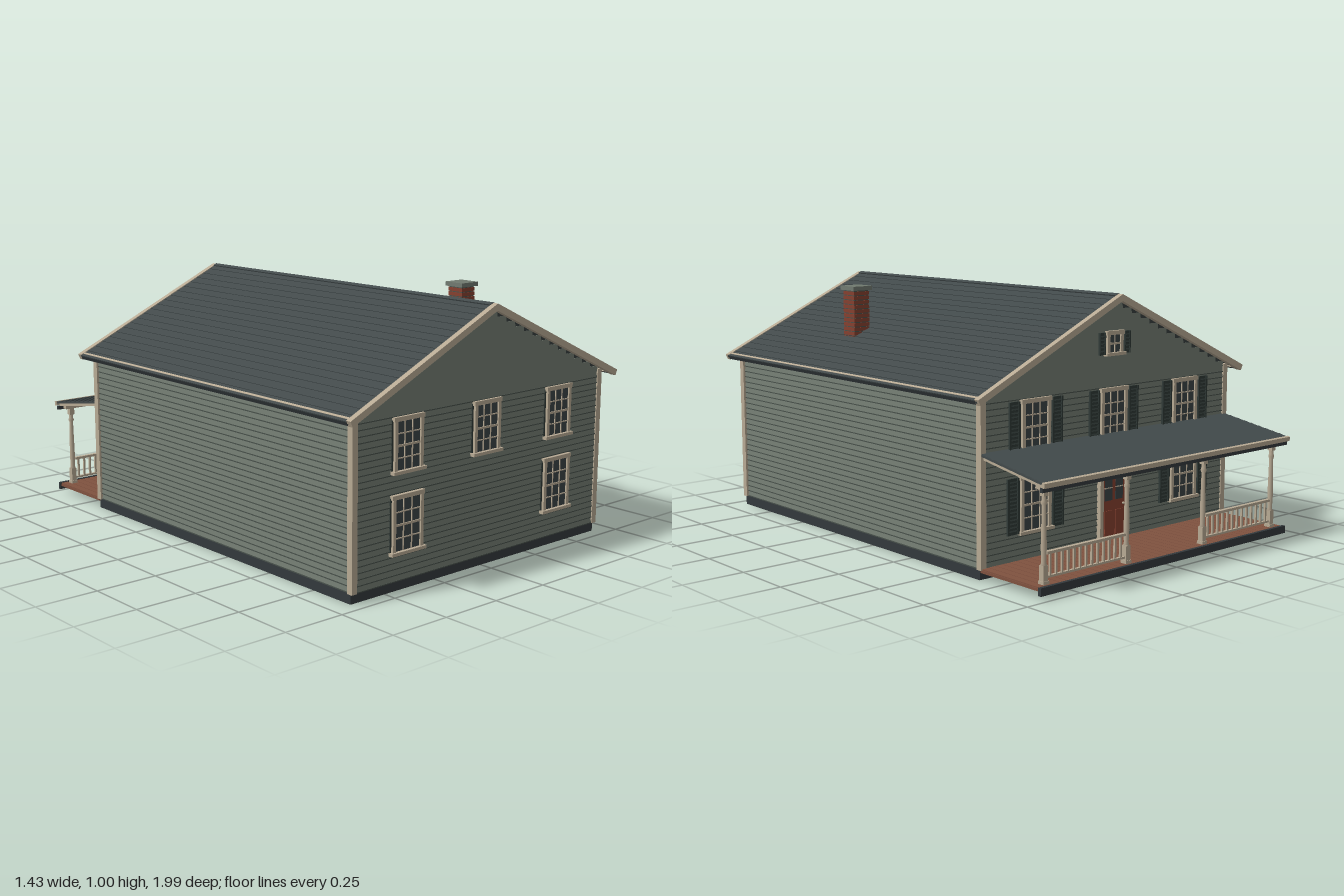
import * as THREE from 'three';
import { mergeGeometries } from 'three/addons/utils/BufferGeometryUtils.js';

const paint = (name, color) => Object.assign(new THREE.MeshStandardMaterial({ color }), { name });
const siding = paint('sage siding', 0x717a70);
const groove = paint('siding groove', 0x48514b);
const trim = paint('cream trim', 0xb8aa94);
const roofing = paint('slate roofing', 0x424a4b);
const stone = paint('dark foundation', 0x33393c);
const glass = paint('window glass', 0x3a4346);
const shutterPaint = paint('shutter green', 0x2f3936);
const brick = paint('chimney brick', 0x86402f);
const decking = paint('deck boards', 0x80523f);

const group = (parent, name) => {
  const g = new THREE.Group();
  g.name = name;
  if (parent) parent.add(g);
  return g;
};
const boxGeo = (w, h, d, x = 0, y = 0, z = 0, rx = 0) =>
  new THREE.BoxGeometry(w, h, d).rotateX(rx).translate(x, y, z);
const add = (parent, name, mat, geos) => {
  const m = new THREE.Mesh(Array.isArray(geos) ? mergeGeometries(geos) : geos, mat);
  m.name = name;
  parent.add(m);
  return m;
};
const box = (parent, name, mat, ...dims) => add(parent, name, mat, boxGeo(...dims));

const SLOPE = 0.462, RIDGE = 1, EAVE = 0.715, BACK = -0.655, FRONT = 0.952;
const PITCH = 0.0231, BASE = 0.038, WALL_ROWS = 27;

// Lapped boards facing +z; rows above the eaves step inward under the roof
function lapWall(parent, name, half, rows) {
  const g = group(parent, name), boards = [], lines = [];
  for (let i = 0; i < rows; i++) {
    const y = BASE + i * PITCH;
    const w = i < WALL_ROWS ? half : Math.min(half, (0.984 - y - PITCH) / SLOPE);
    boards.push(boxGeo(2 * w, PITCH, 0.006, 0, y + PITCH / 2, 0, -0.15));
    if (i < WALL_ROWS) lines.push(boxGeo(2 * w, 0.004, 0.004, 0, y + 0.002, 0.0036));
  }
  add(g, 'boards', siding, boards);
  add(g, 'board shadows', groove, lines);
  return g;
}

function shutter(parent, x, w, h) {
  const slats = [boxGeo(w, h, 0.006, x, 0, 0.008)];
  const n = Math.round(h / 0.014);
  for (let i = 1; i < n; i++) slats.push(boxGeo(w * 0.7, 0.006, 0.004, x, -h / 2 + (h * i) / n, 0.012, -0.5));
  for (const s of [-1, 1]) slats.push(boxGeo(w * 0.14, h, 0.006, x + s * w * 0.43, 0, 0.012));
  add(parent, 'shutter', shutterPaint, slats);
}

// Window facing +z, centred on its own origin
function windowUnit(parent, x, y, w, h, cols, rows, shuttered) {
  const g = group(parent, 'window');
  g.position.set(x, y, 0);
  box(g, 'reveal', shutterPaint, w + 0.014, h - 0.02, 0.008, 0, 0, 0.002);
  box(g, 'pane', glass, w - 0.02, h - 0.02, 0.008, 0, 0, 0.005);
  const bars = [];
  for (const s of [-1, 1]) bars.push(boxGeo(0.014, h, 0.016, s * (w / 2 - 0.007), 0, 0.008));
  bars.push(boxGeo(w + 0.008, 0.016, 0.018, 0, h / 2 - 0.008, 0.008));
  bars.push(boxGeo(w + 0.02, 0.012, 0.026, 0, -h / 2 + 0.006, 0.01));
  for (let i = 1; i < cols; i++)
    bars.push(boxGeo(0.004, h - 0.02, 0.005, -w / 2 + 0.014 + ((w - 0.028) * i) / cols, 0, 0.01));
  for (let i = 1; i < rows; i++)
    bars.push(boxGeo(w - 0.02, i * 2 === rows ? 0.008 : 0.004, 0.006, 0, -h / 2 + 0.012 + ((h - 0.028) * i) / rows, 0.01));
  add(g, 'frame', trim, bars);
  if (shuttered) for (const s of [-1, 1]) shutter(g, s * (w / 2 + w * 0.2 + 0.008), w * 0.36, h - 0.01);
}

function buildRoof(parent) {
  const angle = Math.atan(SLOPE), len = EAVE / Math.cos(angle), n = 20;
  for (const s of [-1, 1]) {
    const side = group(parent, s > 0 ? 'leftRoof' : 'rightRoof');
    side.position.y = RIDGE - 0.002;
    side.rotation.z = -s * angle;
    box(side, 'roof deck', roofing, len, 0.01, 1.68, s * len / 2, -0.011, 0.148);
    const courses = [];
    for (let i = 0; i < n; i++)
      courses.push(new THREE.BoxGeometry(len / n + 0.004, 0.004, 1.66).rotateZ(s * 0.06)
        .translate(s * len * (i + 0.5) / n, -0.005, 0.148));
    add(side, 'shingle courses', roofing, courses);
    // Rake boards along both gables, fascia and gutter at the eave
    for (const z of [0.988, -0.693])
      box(side, 'rakeBoard', trim, len, 0.024, 0.024, s * len / 2, -0.012, z);
    box(side, 'fascia', trim, 0.01, 0.019, 1.66, s * (len - 0.016), -0.0105, 0.148);
    box(side, 'gutter', stone, 0.012, 0.016, 1.66, s * (len - 0.004), -0.012, 0.148);
    box(side, 'ridgeCap', roofing, 0.016, 0.005, 1.66, s * 0.008, -0.0005, 0.148);
  }
}

function buildChimney(parent) {
  const g = group(parent, 'chimney');
  g.position.set(0.43, 0, 0.415);
  box(g, 'mortar core', groove, 0.07, 0.21, 0.07, 0, 0.865, 0);
  const rows = [];
  for (let y = 0.765; y < 0.965; y += 0.0185) rows.push(boxGeo(0.076, 0.0145, 0.076, 0, y + 0.007, 0));
  add(g, 'brick courses', brick, rows);
  box(g, 'chimneyCap', siding, 0.094, 0.017, 0.094, 0, 0.978, 0);
}

function buildDoor(parent) {
  const g = group(parent, 'door');
  box(g, 'door leaf', brick, 0.125, 0.28, 0.012, 0, 0.18, 0.008);
  const frame = [-1, 1].map(s => boxGeo(0.018, 0.32, 0.024, s * 0.07, 0.2, 0.01));
  frame.push(boxGeo(0.17, 0.02, 0.028, 0, 0.36, 0.01), boxGeo(0.13, 0.01, 0.02, 0, 0.325, 0.01));
  for (const s of [-1, 1]) {
    box(g, 'door pane', glass, 0.04, 0.1, 0.006, s * 0.029, 0.25, 0.013);
    frame.push(boxGeo(0.04, 0.004, 0.006, s * 0.029, 0.25, 0.015));
    box(g, 'door panel', brick, 0.04, 0.1, 0.006, s * 0.029, 0.11, 0.014);
  }
  add(g, 'door frame', trim, frame);
  box(g, 'transom', glass, 0.125, 0.025, 0.008, 0, 0.342, 0.008);
  add(g, 'doorknob', trim, new THREE.SphereGeometry(0.005, 8, 6).translate(0.052, 0.18, 0.017));
}

function buildPorch(parent) {
  const g = group(parent, 'porch'), zPost = -0.94;
  // Deck with plank lines and a dark skirt
  box(g, 'deck', decking, 1.33, 0.01, 0.32, 0, 0.034, -0.815);
  const planks = [];
  for (let i = 0; i < 40; i++) planks.push(boxGeo(0.03, 0.004, 0.315, -0.648 + i * 0.0332, 0.041, -0.815));
  add(g, 'deck planks', decking, planks);
  box(g, 'deckSkirt', stone, 1.34, 0.03, 0.014, 0, 0.03, -0.974);
  // Turned posts
  const profile = [[0.008, 0.1], [0.012, 0.11], [0.009, 0.12], [0.011, 0.17], [0.008, 0.32], [0.012, 0.33], [0.009, 0.34], [0.009, 0.36]];
  for (const x of [-0.62, -0.21, 0.21, 0.62]) {
    const post = group(g, 'post');
    post.position.set(x, 0, zPost);
    add(post, 'turned shaft', trim, new THREE.LatheGeometry(profile.map(p => new THREE.Vector2(...p)), 12));
    add(post, 'post blocks', trim, [boxGeo(0.022, 0.07, 0.022, 0, 0.075, 0),
      boxGeo(0.028, 0.012, 0.028, 0, 0.048, 0), boxGeo(0.022, 0.04, 0.022, 0, 0.375, 0)]);
  }
  // Railings either side of the entrance
  for (const s of [-1, 1]) {
    const parts = [boxGeo(0.39, 0.01, 0.016, s * 0.415, 0.152, zPost), boxGeo(0.39, 0.008, 0.012, s * 0.415, 0.066, zPost)];
    for (let i = 0; i < 13; i++) parts.push(boxGeo(0.008, 0.085, 0.008, s * (0.24 + i * 0.0292), 0.11, zPost));
    add(g, 'railing', trim, parts);
  }
  box(g, 'beam', trim, 1.3, 0.024, 0.024, 0, 0.395, zPost);
  // Lean-to roof with exposed rafters
  const roof = group(g, 'porchRoof');
  roof.position.set(0, 0.464, -0.655);
  roof.rotation.x = -0.16;
  box(roof, 'porch shingles', roofing, 1.33, 0.008, 0.33, 0, -0.004, -0.165);
  const courses = [];
  for (let i = 0; i < 9; i++) courses.push(boxGeo(1.326, 0.004, 0.038, 0, -0.001, -0.019 - i * 0.0366, -0.06));
  add(roof, 'porch shingle courses', roofing, courses);
  const rafters = [];
  for (let i = 0; i < 14; i++) rafters.push(boxGeo(0.014, 0.014, 0.32, -0.65 + i * 0.1, -0.014, -0.162));
  add(roof, 'rafters', trim, rafters);
  box(roof, 'porch fascia', trim, 1.335, 0.018, 0.014, 0, -0.007, -0.336);
  box(g, 'porch gutter', stone, 1.33, 0.016, 0.012, 0, 0.385, -0.974);
  // Hanging lantern
  const lamp = group(g, 'lantern');
  lamp.position.set(0, 0, -0.72);
  box(lamp, 'lantern rod', stone, 0.004, 0.08, 0.004, 0, 0.41, 0);
  add(lamp, 'lantern body', stone, new THREE.CylinderGeometry(0.013, 0.008, 0.04, 6).translate(0, 0.345, 0));
  add(lamp, 'lantern cap', stone, new THREE.ConeGeometry(0.017, 0.014, 6).translate(0, 0.372, 0));
}

export function createModel() {
  const house = group(null, 'house');
  const midZ = (FRONT + BACK) / 2, depth = FRONT - BACK;
  box(house, 'foundation', stone, 1.326, 0.038, depth - 0.01, 0, 0.019, midZ);
  box(house, 'wallCore', siding, 1.3, 0.62, depth - 0.012, 0, 0.348, midZ);

  // Four clad walls
  const front = lapWall(house, 'frontWall', 0.655, 40);
  front.position.z = FRONT;
  const back = lapWall(house, 'backWall', 0.655, 40);
  back.position.z = BACK;
  back.rotation.y = Math.PI;
  for (const s of [-1, 1]) {
    const side = lapWall(house, s > 0 ? 'leftWall' : 'rightWall', depth / 2, WALL_ROWS);
    side.position.set(s * 0.656, 0, midZ);
    side.rotation.y = s * Math.PI / 2;
    for (const z of [FRONT - 0.005, BACK + 0.005])
      box(house, 'cornerBoard', trim, 0.025, 0.635, 0.026, s * 0.656, 0.355, z);
  }

  // Windows and door
  for (const x of [-0.405, 0, 0.405]) {
    windowUnit(front, x, 0.538, 0.14, 0.205, 3, 4, false);
    windowUnit(back, x, 0.538, 0.14, 0.205, 3, 4, true);
    if (x) {
      windowUnit(front, x, 0.25, 0.15, 0.22, 3, 4, false);
      windowUnit(back, x, 0.25, 0.15, 0.22, 3, 4, true);
    }
  }
  windowUnit(back, 0, 0.81, 0.085, 0.095, 2, 2, true);
  buildDoor(back);
  buildRoof(house);
  buildChimney(house);
  buildPorch(house);
  return house;
}
